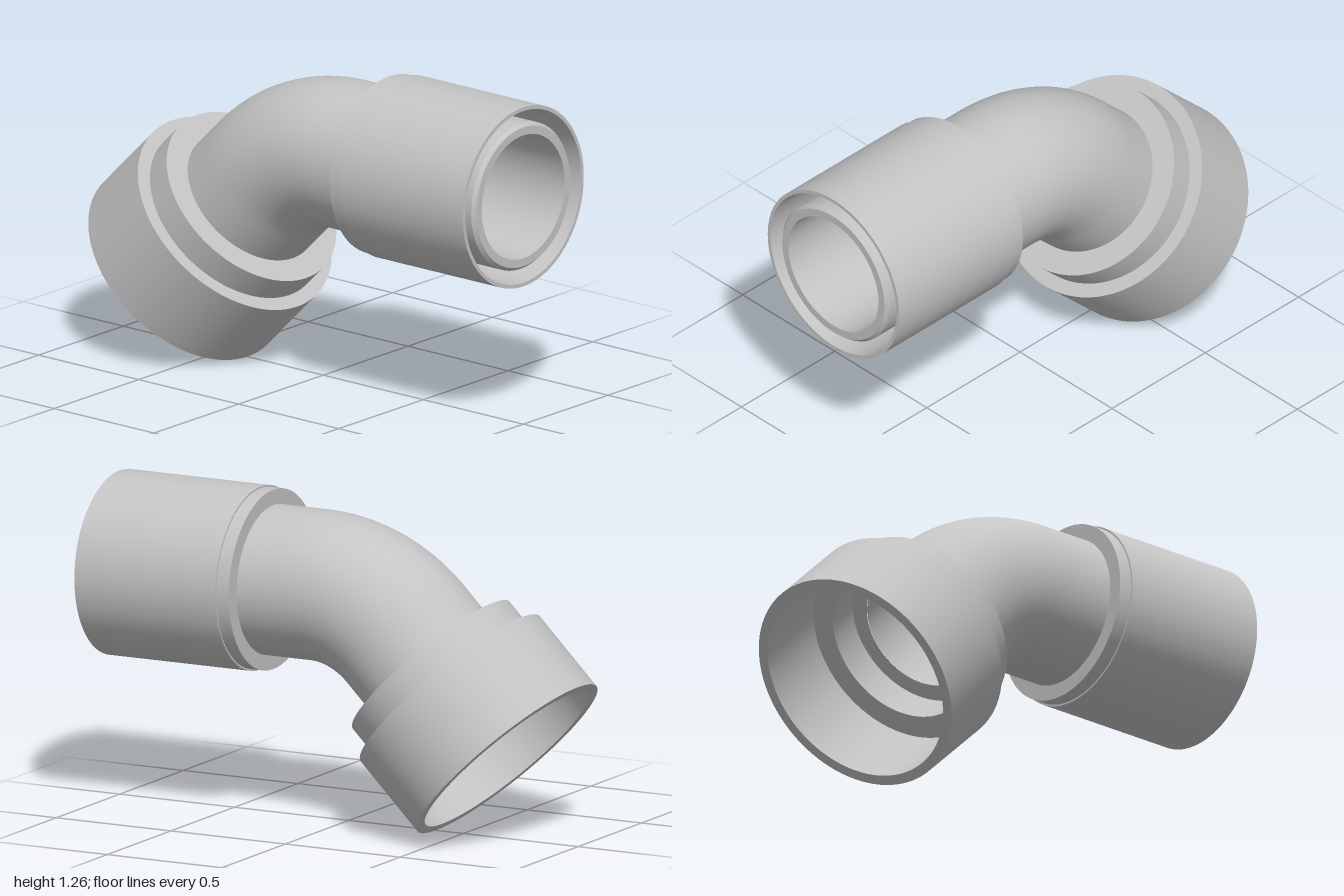
import * as THREE from 'three';
import { toCreasedNormals } from 'three/addons/utils/BufferGeometryUtils.js';

const AXIS_Y = 0.91;               // height of the horizontal run
const BEND_X = 0.13, BEND_R = 0.54; // where the bend starts and its radius
const ANGLE = Math.PI / 4;
const SOCKET = new THREE.Vector3(-0.69, 0.315, 0); // centre of the lower mouth
const SOCKET_DEPTH = 0.455;

// Centre line: straight lower leg, 45 degree arc, straight horizontal leg
class ElbowCurve extends THREE.Curve {
  constructor(endX) {
    super();
    this.lower = 0.841 - SOCKET_DEPTH - BEND_R * Math.tan(ANGLE / 2);
    this.arc = BEND_R * ANGLE;
    this.total = this.lower + this.arc + endX - BEND_X;
  }
  getPoint(t, target = new THREE.Vector3()) {
    const d = t * this.total - this.lower;
    const a = THREE.MathUtils.clamp(ANGLE - d / BEND_R, 0, ANGLE);
    const before = Math.min(d, 0), after = Math.max(d - this.arc, 0);
    return target.set(
      BEND_X - BEND_R * Math.sin(a) + before * Math.cos(ANGLE) + after,
      AXIS_Y - BEND_R + BEND_R * Math.cos(a) + before * Math.sin(ANGLE),
      0
    );
  }
}

function turned(profile) {
  const points = profile.map(([r, y]) => new THREE.Vector2(r, y));
  return toCreasedNormals(new THREE.LatheGeometry(points, 96), 0.5);
}

function tube(endX, radius, inward) {
  const geometry = new THREE.TubeGeometry(new ElbowCurve(endX), 100, radius, 96, false);
  if (!inward) return geometry;
  geometry.setIndex(Array.from(geometry.index.array).reverse());
  return toCreasedNormals(geometry, 0.5);
}

export function createModel() {
  const model = new THREE.Group();
  model.name = 'pipeElbow';
  const grey = new THREE.MeshStandardMaterial({ color: 0xc4c4c4 });
  grey.name = 'light grey';

  const add = (name, geometry) => {
    const mesh = new THREE.Mesh(geometry, grey);
    mesh.name = name;
    model.add(mesh);
    return mesh;
  };

  // Bent pipe, outside and bore
  add('bentPipe', tube(0.34, 0.29, false));
  add('pipeBore', tube(1, 0.245, true));

  // Horizontal end: collar, tapered sleeve and the chamfered pipe inside it
  const sleeve = add('sleeveEnd', turned([
    [0.29, 0.33], [0.35, 0.33], [0.35, 0.385], [0.357, 0.385], [0.357, 1],
    [0.342, 1], [0.322, 0.385], [0.29, 0.385], [0.29, 0.985], [0.277, 1], [0.245, 1]
  ]));
  sleeve.position.y = AXIS_Y;
  sleeve.rotation.z = -Math.PI / 2;

  // Lower end: stepped socket, hollow from below
  const socket = add('steppedSocket', turned([
    [0.245, SOCKET_DEPTH], [0.31, SOCKET_DEPTH], [0.31, 0.32], [0.4, 0.32], [0.4, 0],
    [0.44, 0], [0.44, 0.35], [0.385, 0.35], [0.385, 0.468], [0.285, 0.468]
  ]));
  socket.position.copy(SOCKET);
  socket.rotation.z = -ANGLE;

  return model;
}
